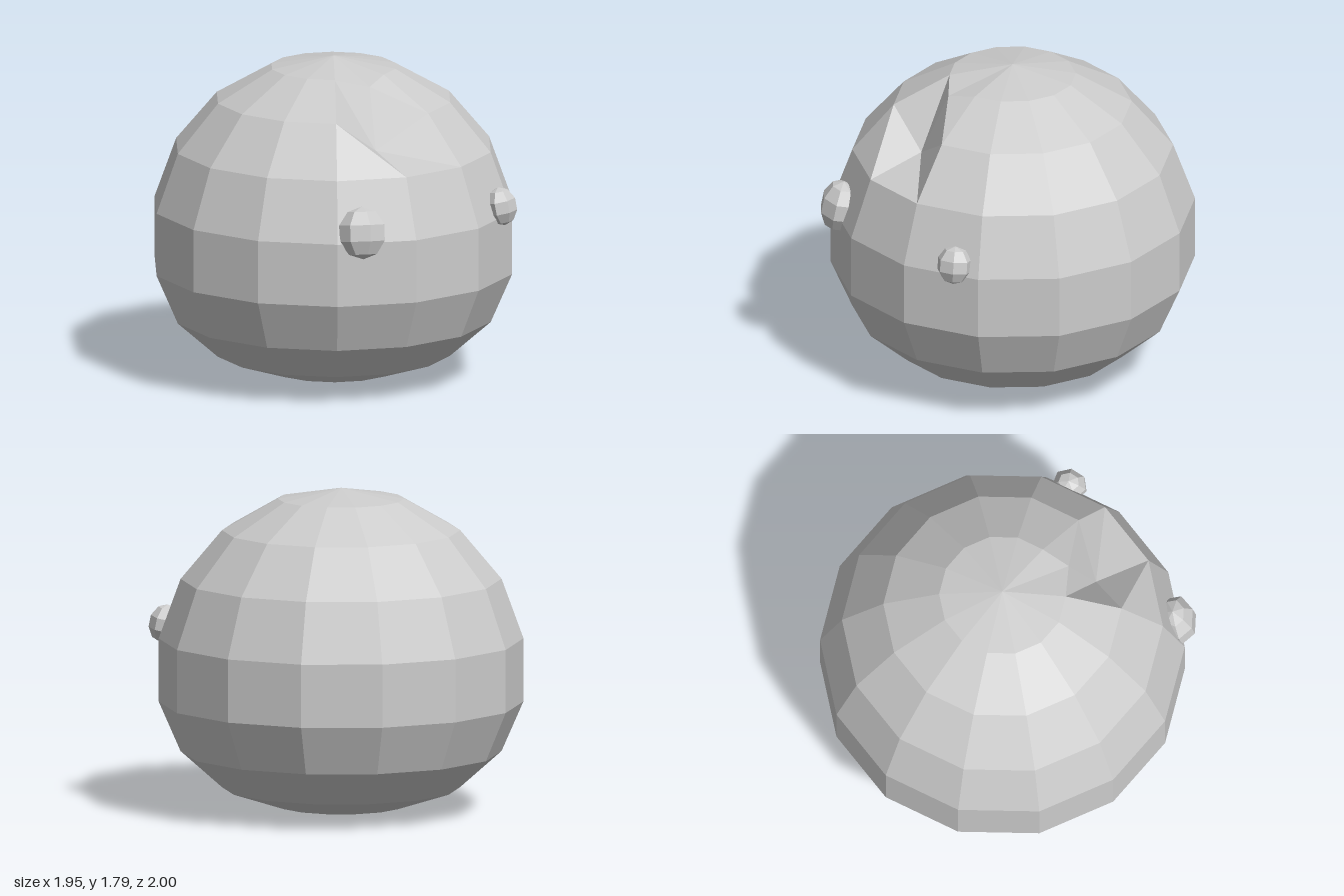
import * as THREE from 'three';

const SIDES = 14;
// Body profile from bottom to top: [radius, height]
const PROFILE = [
  [0, 0], [0.347, 0.03], [0.653, 0.13], [0.88, 0.33], [1, 0.605],
  [1, 0.955], [0.88, 1.285], [0.653, 1.555], [0.347, 1.73], [0, 1.79],
];

export function createModel() {
  const group = new THREE.Group();
  const material = new THREE.MeshStandardMaterial({ color: 0xcccccc, flatShading: true });

  // Faceted round body
  const bodyGeometry = new THREE.LatheGeometry(
    PROFILE.map(([r, y]) => new THREE.Vector2(r, y)), SIDES);
  const position = bodyGeometry.attributes.position;

  // Dent on the upper left side: push two ring corners inward
  const dentColumn = 3;
  const setCorner = (ring, x, y, z) =>
    position.setXYZ(dentColumn * PROFILE.length + ring, x, y, z);
  setCorner(7, 0.535, 1.37, 0.145);
  setCorner(8, 0.4, 1.695, 0.075);

  const body = new THREE.Mesh(bodyGeometry, material);
  body.name = 'body';
  group.add(body);

  // Small faceted eyes, leaning with the body's surface
  const addEye = (name, x, y, z, scale) => {
    const eye = new THREE.Mesh(new THREE.SphereGeometry(1, 7, 5), material);
    eye.name = name;
    eye.position.set(x, y, z);
    eye.rotation.set(-0.2, Math.atan2(x, z), 0, 'YXZ');
    eye.scale.set(...scale);
    group.add(eye);
  };
  addEye('largeEye', 0.835, 1.012, 0.49, [0.135, 0.145, 0.105]);
  addEye('smallEye', 0.845, 1.018, -0.495, [0.1, 0.107, 0.085]);

  return group;
}
